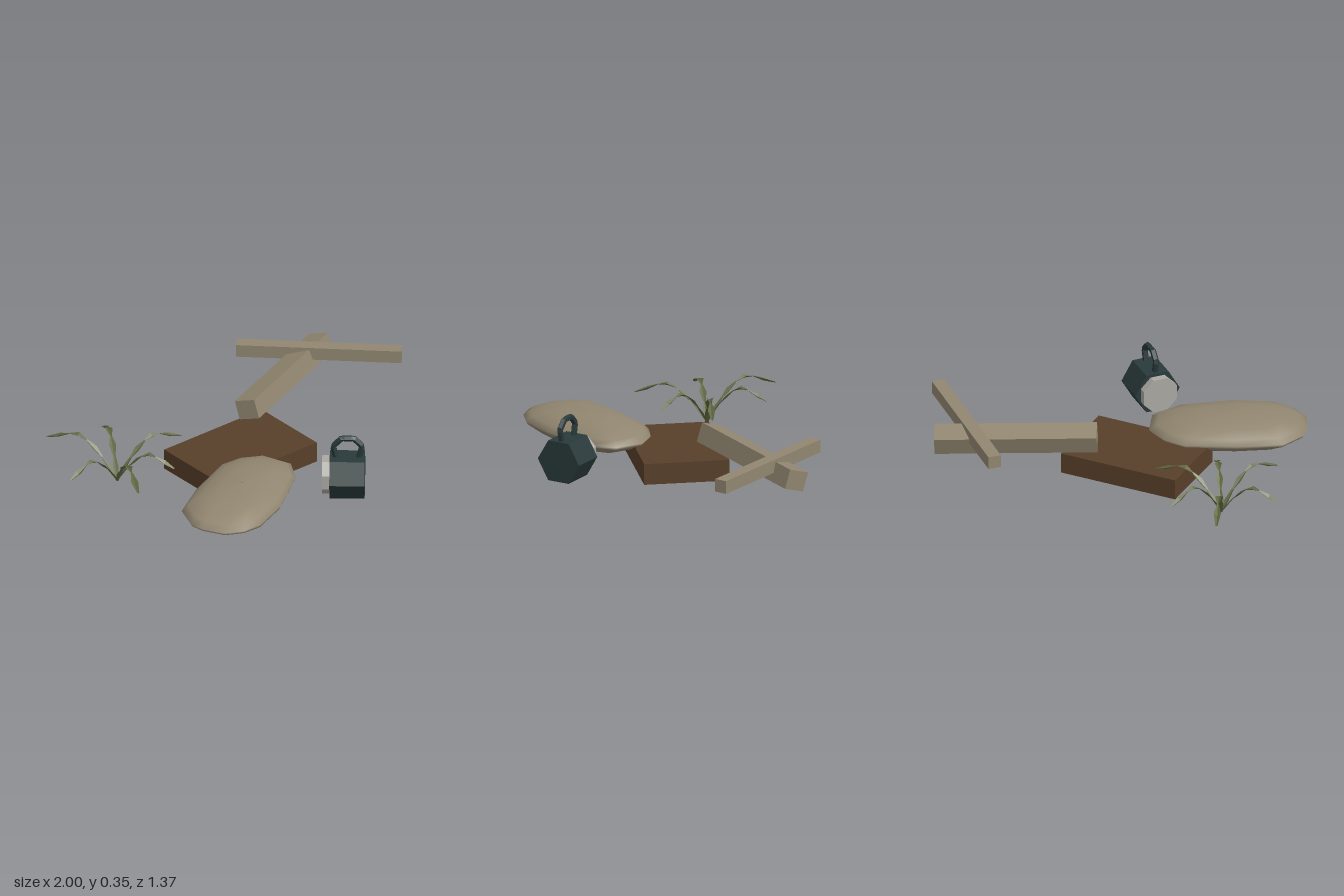
import * as THREE from 'three';

const mat = (name, color, extra = {}) => {
  const m = new THREE.MeshStandardMaterial({ color, ...extra });
  m.name = name;
  return m;
};

export function createModel() {
  const root = new THREE.Group();
  const brown = mat('dark wood', 0x573f29, { flatShading: true });
  const wood = mat('weathered wood', 0x918670, { flatShading: true });
  const cloth = mat('sackcloth', 0x918670);
  const teal = mat('dark teal metal', 0x29393a, { flatShading: true });
  const lensMat = mat('pale lens', 0xaaa8a1, { flatShading: true });
  const leaf = mat('leaf green', 0x626a43, { flatShading: true, side: THREE.DoubleSide });

  const add = (parent, name, geometry, material, x = 0, y = 0, z = 0) => {
    const mesh = new THREE.Mesh(geometry, material);
    mesh.name = name;
    mesh.position.set(x, y, z);
    parent.add(mesh);
    return mesh;
  };

  // Flat wooden block
  add(root, 'woodenBlock', new THREE.BoxGeometry(0.63, 0.108, 0.43), brown, -0.105, 0.056, -0.053)
    .rotation.y = -0.008;

  // Two crossed beams, the thick one rolled and sloping down
  const post = add(root, 'thickBeam', new THREE.BoxGeometry(0.81, 0.1, 0.112), wood, 0.423, 0.188, -0.345);
  post.rotation.set(-0.3, 0.4, -0.035, 'YZX');
  add(root, 'crossBeam', new THREE.BoxGeometry(0.825, 0.066, 0.066), wood, 0.68, 0.223, -0.378)
    .rotation.y = -0.78;

  // Soft sack: one outline, scaled into rings from bottom to top
  const outline = [[-0.81, 0.4], [-0.76, 0.27], [-0.56, 0.15], [-0.32, 0.05], [-0.2, 0.06], [-0.09, 0.12],
    [-0.04, 0.26], [-0.11, 0.38], [-0.35, 0.55], [-0.55, 0.63], [-0.65, 0.625], [-0.74, 0.58], [-0.8, 0.47]];
  const rings = [[0.01, 0.033], [0.4, 0.037], [0.75, 0.065], [0.97, 0.105], [1, 0.122],
    [0.9, 0.148], [0.68, 0.176], [0.38, 0.19], [0.01, 0.194]];
  const n = outline.length, sackPos = [], sackIdx = [];
  for (const [s, y] of rings) {
    for (const [x, z] of outline) sackPos.push(-0.425 + (x + 0.425) * s, y, 0.34 + (z - 0.34) * s);
  }
  for (let r = 0; r < rings.length - 1; r++) {
    for (let i = 0; i < n; i++) {
      const a = r * n + i, b = r * n + (i + 1) % n;
      sackIdx.push(a, a + n, b, b, a + n, b + n);
    }
  }
  const sack = new THREE.BufferGeometry();
  sack.setAttribute('position', new THREE.Float32BufferAttribute(sackPos, 3));
  // Turn the faces outward whichever way the outline runs
  const area = outline.reduce((sum, [x, z], i) => {
    const [x2, z2] = outline[(i + 1) % n];
    return sum + x * z2 - x2 * z;
  }, 0);
  if (area < 0) for (let i = 0; i < sackIdx.length; i += 3) {
    [sackIdx[i], sackIdx[i + 1]] = [sackIdx[i + 1], sackIdx[i]];
  }
  sack.setIndex(sackIdx);
  sack.computeVertexNormals();
  add(root, 'sack', sack, cloth);

  // Hexagonal lamp, local +z points to its lens
  const lamp = new THREE.Group();
  lamp.name = 'lamp';
  lamp.position.set(0.097, 0.13, 0.532);
  lamp.rotation.y = Math.atan2(-0.75, -0.66);
  root.add(lamp);
  const drum = (r, len, sides, start) =>
    new THREE.CylinderGeometry(r, r, len, sides, 1, false, start).rotateX(Math.PI / 2);
  add(lamp, 'lampBody', drum(0.12, 0.175, 6, Math.PI / 6), teal);
  add(lamp, 'lampLens', drum(0.097, 0.04, 8, Math.PI / 8), lensMat, 0, 0, 0.105);

  // Angular carrying handle
  const bar = new THREE.CurvePath();
  const bend = [[-0.055, 0.09], [-0.075, 0.165], [-0.035, 0.206], [0.03, 0.206], [0.07, 0.165], [0.055, 0.09]]
    .map(([z, y]) => new THREE.Vector3(0, y, z));
  for (let i = 1; i < bend.length; i++) bar.add(new THREE.LineCurve3(bend[i - 1], bend[i]));
  add(lamp, 'lampHandle', new THREE.TubeGeometry(bar, 20, 0.016, 5, false), teal);

  // Plant with arching fronds: [distance out, height, width]
  const profile = [[0, 0.02, 0.018], [0.04, 0.075, 0.028], [0.08, 0.12, 0.014], [0.12, 0.16, 0.036],
    [0.165, 0.19, 0.01], [0.21, 0.21, 0.036], [0.255, 0.2, 0.008], [0.315, 0.178, 0.036], [0.38, 0.15, 0.012]];
  const tips = [[-0.15, -0.37, 1.08], [0.14, -0.28, 1.04], [-0.31, 0.01, 0.92],
    [0.38, 0.04, 1.02], [-0.15, 0.34, 1], [0.15, 0.26, 0.96]];
  const plant = new THREE.Group();
  plant.name = 'plant';
  plant.position.set(-0.69, 0, -0.31);
  root.add(plant);
  for (const [tx, tz, lift] of tips) {
    const pos = [], idx = [], k = Math.hypot(tx, tz) / 0.38;
    profile.forEach(([r, y, w], i) => {
      // Each section is a shallow V
      pos.push(r * k, y * lift, -w / 2, r * k, y * lift - w * 0.35, 0, r * k, y * lift, w / 2);
      if (i) for (const j of [0, 1]) {
        const a = (i - 1) * 3 + j;
        idx.push(a, a + 1, a + 3, a + 1, a + 4, a + 3);
      }
    });
    const g = new THREE.BufferGeometry();
    g.setAttribute('position', new THREE.Float32BufferAttribute(pos, 3));
    g.setIndex(idx);
    g.computeVertexNormals();
    add(plant, 'frond', g, leaf).rotation.y = Math.atan2(-tz, tx);
  }
  return root;
}
